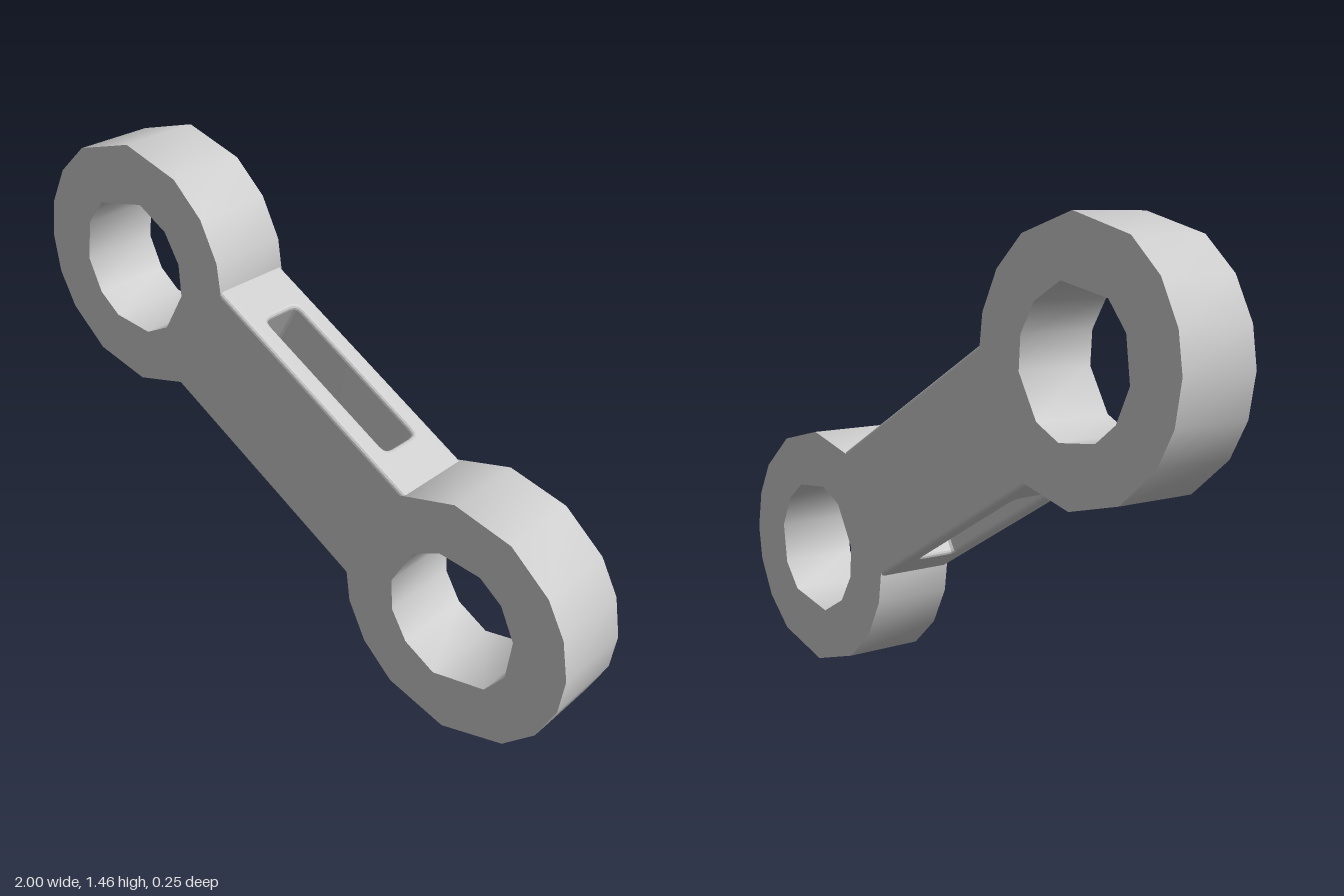
import * as THREE from 'three';
import { toCreasedNormals } from 'three/addons/utils/BufferGeometryUtils.js';

const HALF_DEPTH = 0.127;
const CENTRE_Y = 0.73;
const EYE = new THREE.Vector2(0.62, -0.35); // eye centre relative to the link centre
const material = new THREE.MeshStandardMaterial({ color: 0xcccccc });

// Coarse, uneven facets of the eye's outer rim and of its bore, counter-clockwise in degrees
const RIM = [-182, -163, -143, -122, -91, -58, -37, -17, 0, 19, 37, 62, 91, 119, 150];
const BORE = [-163, -135, -103, -53, -25, 10, 40, 65, 103, 130, 170];

const ringPoints = (angles, radius) => angles.map((a) => {
  const t = THREE.MathUtils.degToRad(a);
  return new THREE.Vector2(EYE.x + radius * Math.cos(t), EYE.y + radius * Math.sin(t));
});

// Rectangle centred on the origin with rounded corners
function roundedRect(path, halfX, halfY, r) {
  path.moveTo(-halfX + r, -halfY);
  path.lineTo(halfX - r, -halfY);
  path.quadraticCurveTo(halfX, -halfY, halfX, -halfY + r);
  path.lineTo(halfX, halfY - r);
  path.quadraticCurveTo(halfX, halfY, halfX - r, halfY);
  path.lineTo(-halfX + r, halfY);
  path.quadraticCurveTo(-halfX, halfY, -halfX, halfY - r);
  path.lineTo(-halfX, -halfY + r);
  path.quadraticCurveTo(-halfX, -halfY, -halfX + r, -halfY);
  return path;
}

// Eye: faceted ring with smooth shading around the rim and bore
function eyeGeometry() {
  const shape = new THREE.Shape(ringPoints(RIM, 0.38));
  shape.holes.push(new THREE.Path(ringPoints(BORE, 0.212)));
  const geo = new THREE.ExtrudeGeometry(shape, { depth: HALF_DEPTH * 2, bevelEnabled: false });
  geo.translate(0, 0, -HALF_DEPTH);
  return toCreasedNormals(geo, 1.0);
}

// Bar: softened block pierced across its width by a slot
function barGeometry() {
  const halfWidth = 0.206, bevel = 0.012;
  const shape = new THREE.Shape();
  const hx = 0.435, hz = HALF_DEPTH - bevel;
  shape.moveTo(-hx, -hz).lineTo(hx, -hz).lineTo(hx, hz).lineTo(-hx, hz).closePath();
  shape.holes.push(roundedRect(new THREE.Path(), 0.273, 0.077, 0.035));
  const geo = new THREE.ExtrudeGeometry(shape, {
    depth: 2 * (halfWidth - bevel), curveSegments: 3,
    bevelSize: bevel, bevelThickness: bevel, bevelSegments: 3,
  });
  geo.translate(0, 0, -(halfWidth - bevel));
  geo.rotateX(-Math.PI / 2);
  return toCreasedNormals(geo, 0.2);
}

export function createModel() {
  const link = new THREE.Group();
  link.name = 'linkArm';

  const bar = new THREE.Mesh(barGeometry(), material);
  bar.name = 'slottedBar';
  bar.rotation.z = Math.atan2(EYE.y, EYE.x);
  bar.position.y = CENTRE_Y;
  link.add(bar);

  // The second eye is the first turned half a revolution about the centre
  const eye = eyeGeometry();
  ['lowerEye', 'upperEye'].forEach((name, i) => {
    const mesh = new THREE.Mesh(eye, material);
    mesh.name = name;
    mesh.rotation.z = i * Math.PI;
    mesh.position.y = CENTRE_Y;
    link.add(mesh);
  });
  return link;
}
